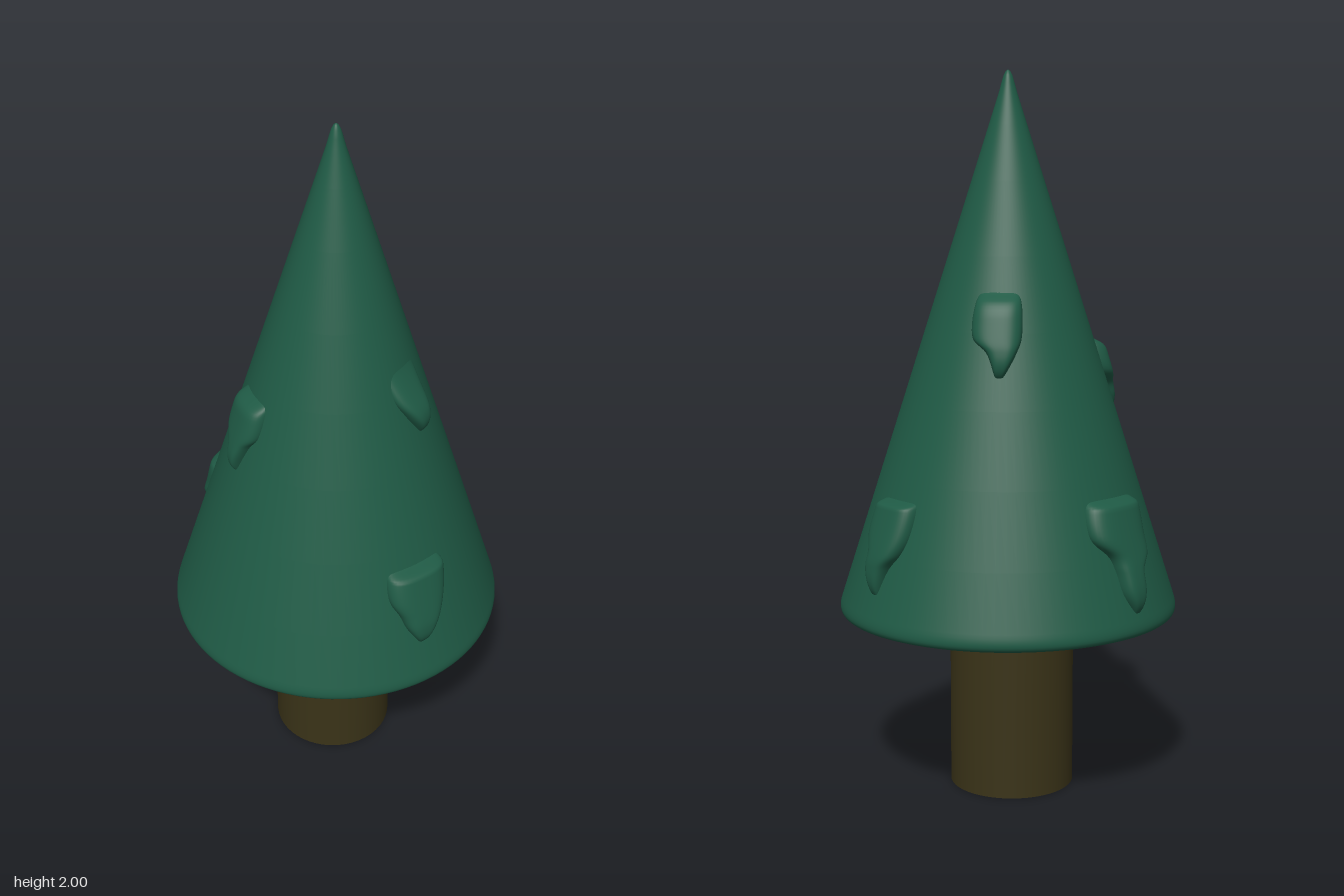
import * as THREE from 'three';

const green = new THREE.MeshStandardMaterial({ color: 0x1f5a45, side: THREE.DoubleSide });
const brown = new THREE.MeshStandardMaterial({ color: 0x3a3318 });

// Radius of the foliage cone at a height
const coneRadius = (y) => 0.012 + (1.98 - y) * 0.319;

// Drooping tuft wrapped on the cone. Rows run downward as [y, left, right],
// with left and right measured along the surface from the tuft's middle.
function makeTuft({ angle, thickness, ramp, rows }) {
  const curve = new THREE.CatmullRomCurve3(
    rows.map((r) => new THREE.Vector3(...r)), false, 'centripetal');
  const nu = 24, nv = 36, pos = [], idx = [];
  const midR = coneRadius((rows[0][0] + rows[rows.length - 1][0]) / 2);
  for (let j = 0; j <= nv; j++) {
    const v = j / nv;
    const row = curve.getPoint(v);
    const rise = THREE.MathUtils.smoothstep(v, 0, ramp) * (1 - Math.pow(v, 10));
    for (let i = 0; i <= nu; i++) {
      // Columns crowd toward the sides, where the tuft curls into the cone
      const u = Math.sin((i / nu - 0.5) * Math.PI);
      const s = THREE.MathUtils.lerp(row.y, row.z, (u + 1) / 2);
      const a = angle + s / midR;
      const r = coneRadius(row.x) - 0.008 + (thickness + 0.008) * rise * Math.sqrt(1 - u ** 4);
      pos.push(r * Math.sin(a), row.x, r * Math.cos(a));
      if (i < nu && j < nv) {
        const p = j * (nu + 1) + i, q = p + nu + 1;
        idx.push(p, q, p + 1, p + 1, q, q + 1);
      }
    }
  }
  const geo = new THREE.BufferGeometry();
  geo.setAttribute('position', new THREE.Float32BufferAttribute(pos, 3));
  geo.setIndex(idx);
  geo.computeVertexNormals();
  return new THREE.Mesh(geo, green);
}

export function createModel() {
  const tree = new THREE.Group();
  tree.name = 'pineTree';

  // Trunk
  const trunk = new THREE.Mesh(new THREE.CylinderGeometry(0.175, 0.175, 0.52, 48), brown);
  trunk.name = 'trunk';
  trunk.position.set(-0.012, 0.26, 0);
  tree.add(trunk);

  // Foliage with a rounded tip and a rolled hem
  const foliage = new THREE.Group();
  foliage.name = 'foliage';
  foliage.position.set(-0.003, 0, 0.006);
  tree.add(foliage);
  const hem = new THREE.Path();
  hem.moveTo(0.44, 0.5);
  hem.bezierCurveTo(0.474, 0.5, 0.48, 0.515, coneRadius(0.55), 0.55);
  const profile = [
    ...hem.getPoints(10),
    ...[0.7, 0.9, 1.1, 1.3, 1.5, 1.7, 1.85, 1.94].map((y) => new THREE.Vector2(coneRadius(y), y)),
    ...[[0.018, 1.965], [0.012, 1.985], [0.006, 1.996], [0, 2]].map((p) => new THREE.Vector2(...p)),
  ];
  const cone = new THREE.Mesh(new THREE.LatheGeometry(profile, 96), green);
  cone.name = 'foliageCone';
  foliage.add(cone);
  const underside = new THREE.Mesh(new THREE.CircleGeometry(0.44, 96), green);
  underside.name = 'foliageUnderside';
  underside.rotation.x = Math.PI / 2;
  underside.position.y = 0.5;
  foliage.add(underside);

  // Tufts: three near the hem, three higher up
  const tufts = {
    lowerFrontTuft: {
      angle: -0.28, thickness: 0.038, ramp: 0.2,
      rows: [[0.86, -0.08, 0.09], [0.84, -0.095, 0.1], [0.78, -0.095, 0.085],
        [0.73, -0.07, 0.06], [0.69, -0.055, 0.035], [0.63, -0.02, -0.01]],
    },
    lowerLeftTuft: {
      angle: 1.46, thickness: 0.038, ramp: 0.2,
      rows: [[0.86, -0.075, 0.075], [0.84, -0.085, 0.085], [0.77, -0.085, 0.08],
        [0.72, -0.055, 0.06], [0.68, -0.05, 0.03], [0.6, -0.015, 0.005]],
    },
    lowerBackTuft: {
      angle: 3.2, thickness: 0.038, ramp: 0.17,
      rows: [[0.87, -0.09, 0.1], [0.845, -0.11, 0.115], [0.77, -0.11, 0.1],
        [0.72, -0.06, 0.085], [0.68, -0.045, 0.045], [0.62, -0.035, 0.035], [0.56, -0.005, 0.01]],
    },
    upperFrontTuft: {
      angle: 0.1, thickness: 0.042, ramp: 0.85,
      rows: [[1.43, -0.055, 0.065], [1.36, -0.065, 0.07], [1.3, -0.06, 0.055],
        [1.25, -0.035, 0.04], [1.18, 0.005, 0.015]],
    },
    upperBackLeftTuft: {
      angle: 2.24, thickness: 0.036, ramp: 0.35,
      rows: [[1.42, -0.06, 0.06], [1.38, -0.07, 0.07], [1.29, -0.065, 0.065],
        [1.25, -0.025, 0.05], [1.18, 0, 0.015]],
    },
    upperBackRightTuft: {
      angle: -2.04, thickness: 0.034, ramp: 0.25,
      rows: [[1.28, -0.065, 0.07], [1.25, -0.075, 0.08], [1.18, -0.07, 0.075],
        [1.14, -0.025, 0.05], [1.1, -0.01, 0.035], [1.05, 0.01, 0.02]],
    },
  };
  for (const [name, spec] of Object.entries(tufts)) {
    const tuft = makeTuft(spec);
    tuft.name = name;
    foliage.add(tuft);
  }
  return tree;
}
